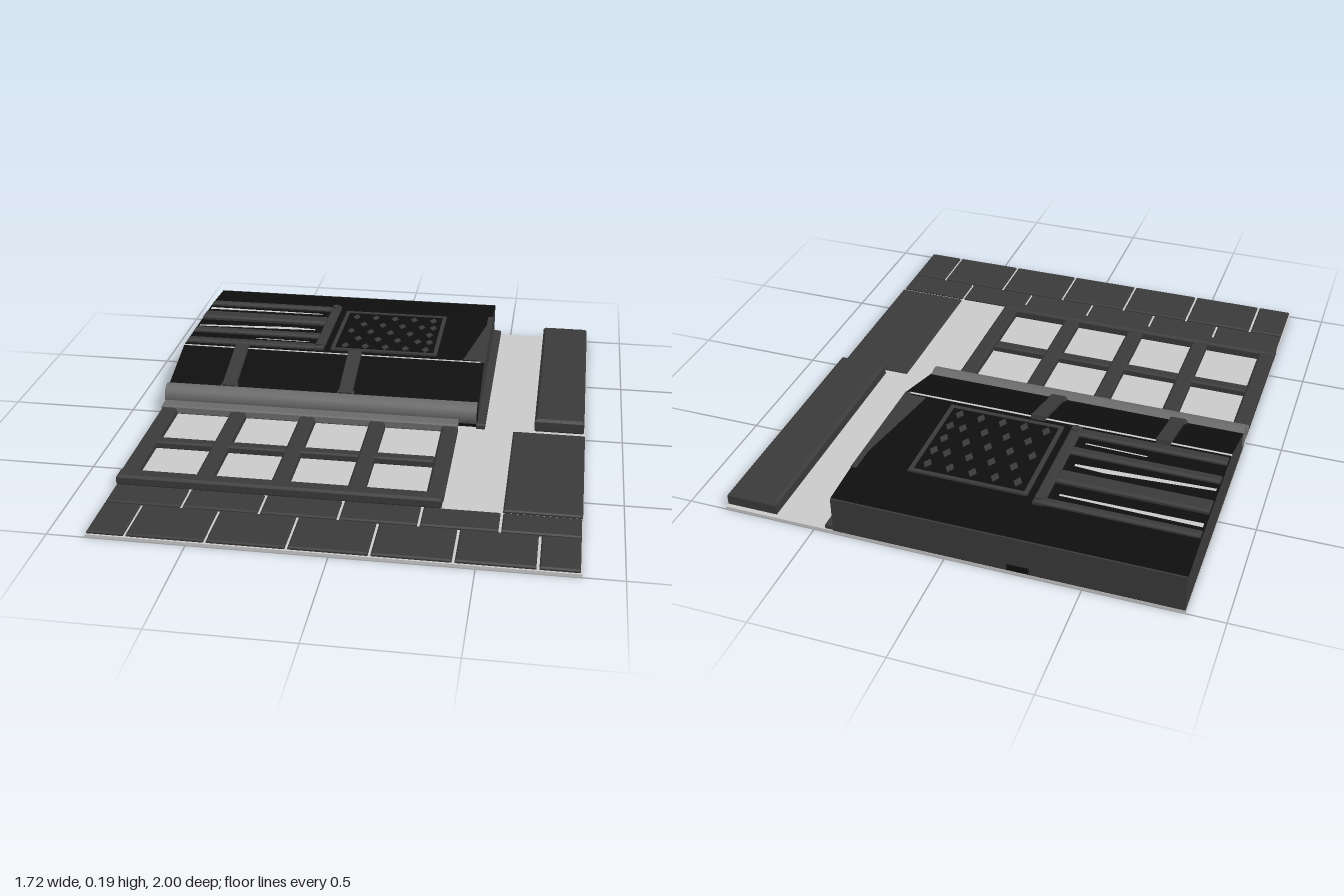
import * as THREE from 'three';

const mat = (name, color) => Object.assign(new THREE.MeshStandardMaterial({ color }), { name });

export function createModel() {
  const model = new THREE.Group();
  const stone = mat('dark grey', 0x3a3a3a);
  const black = mat('black', 0x0e0e0e);
  const light = mat('light grey', 0xc9c9c9);
  const steel = mat('mid grey', 0x6a6a6a);

  const add = (name, geo, material) => {
    const m = new THREE.Mesh(geo, material);
    m.name = name;
    model.add(m);
    return m;
  };
  // Plain box given by its extents
  const box = (name, x0, x1, y0, y1, z0, z1, material) =>
    add(name, new THREE.BoxGeometry(x1 - x0, y1 - y0, z1 - z0)
      .translate((x0 + x1) / 2, (y0 + y1) / 2, (z0 + z1) / 2), material);
  // Box with chamfered edges given by its extents
  const slab = (name, x0, x1, y0, y1, z0, z1, material = stone, b = 0.006) => {
    const w = (x1 - x0) / 2 - b, d = (z1 - z0) / 2 - b;
    const s = new THREE.Shape([[-w, -d], [w, -d], [w, d], [-w, d]].map(p => new THREE.Vector2(...p)));
    const g = new THREE.ExtrudeGeometry(s, {
      depth: y1 - y0 - 2 * b, bevelEnabled: true, bevelSize: b, bevelThickness: b, bevelSegments: 1,
    });
    g.rotateX(-Math.PI / 2).translate((x0 + x1) / 2, y0 + b, (z0 + z1) / 2);
    return add(name, g, material);
  };

  // Ground plate
  box('groundPlate', -0.86, 0.855, 0, 0.012, -1, 1, light);

  // Two staggered rows of paving
  const frontJoints = [-0.86, -0.718, -0.433, -0.147, 0.14, 0.425, 0.708, 0.855];
  const backJoints = [-0.86, -0.575, -0.29, -0.005, 0.282, 0.567, 0.855];
  const row = (joints, z0, z1) => {
    for (let i = 0; i + 1 < joints.length; i++)
      slab('pavingStone', joints[i] + 0.005, joints[i + 1] - 0.005, 0.01, 0.025, z0, z1, stone, 0.005);
  };
  row(frontJoints, 0.79, 0.995);
  row(backJoints, 0.655, 0.78);

  // Side paving and raised kerb
  slab('sidePaving', 0.57, 0.853, 0.01, 0.025, 0.01, 0.64, stone, 0.005);
  slab('raisedKerb', 0.652, 0.848, 0.01, 0.067, -0.99, -0.02, stone, 0.01);

  // Window-like lattice in front
  slab('latticeFrontBar', -0.86, 0.35, 0.01, 0.053, 0.585, 0.645, stone, 0.009);
  slab('latticeBackBar', -0.86, 0.35, 0.02, 0.056, -0.01, 0.052, steel);
  slab('latticeMiddleBar', -0.82, 0.288, 0.01, 0.042, 0.295, 0.34, stone);
  for (const x of [-0.827, -0.54, -0.255, 0.03, 0.32])
    slab('latticeUpright', x - 0.032, x + 0.032, 0.01, 0.048, 0.03, 0.6, stone, 0.008);

  // Roof block: profile in z and y, swept along x, with dark grey ends
  const profile = [[-0.03, 0.01], [-0.03, 0.085], [-0.08, 0.1], [-0.312, 0.168],
    [-0.82, 0.168], [-0.992, 0.157], [-0.992, 0.01]].map(p => new THREE.Vector2(...p));
  const roof = new THREE.ExtrudeGeometry(new THREE.Shape(profile), { depth: 1.284, bevelEnabled: false });
  roof.rotateY(-Math.PI / 2).translate(0.425, 0, 0);
  add('roofBlock', roof, [stone, black]);
  box('backWall', -0.859, 0.425, 0.01, 0.156, -0.999, -0.991, stone);
  box('backVent', -0.31, -0.23, 0.015, 0.04, -1, -0.998, black);

  // Rim along the foot of the side wall
  slab('sideRim', 0.42, 0.456, 0.01, 0.035, -0.998, -0.01, stone, 0.005);

  // Rounded eave beam
  const eave = new THREE.CylinderGeometry(0.044, 0.044, 1.28, 24).rotateZ(Math.PI / 2).translate(-0.22, 0.067, -0.044);
  add('eaveBeam', eave, steel);

  // Sloping ribs on the front of the roof
  for (const x of [-0.605, -0.12]) {
    const rib = add('roofRib', new THREE.BoxGeometry(0.056, 0.018, 0.27), stone);
    rib.position.set(x, 0.139, -0.2);
    rib.rotation.x = Math.atan2(0.068, 0.232);
    slab('ribFoot', x - 0.035, x + 0.035, 0.085, 0.112, -0.095, -0.07, stone);
  }

  // Narrow pale gap along the top of the slope
  box('ridgeGap', -0.86, 0.41, 0.166, 0.1695, -0.321, -0.312, light);

  // Louvre: frame, slats and pale gaps
  for (const [z, w, h, m] of [[-0.792, 0.034, 0.183, stone], [-0.642, 0.068, 0.186, stone],
    [-0.48, 0.04, 0.183, stone], [-0.365, 0.042, 0.183, stone]])
    slab('louvreSlat', -0.855, -0.295, 0.16, h, z - w / 2, z + w / 2, m, 0.008);
  slab('louvrePost', -0.3, -0.26, 0.16, 0.186, -0.815, -0.34, stone);
  for (const z of [-0.79, -0.365])
    add('louvreBolt', new THREE.CylinderGeometry(0.016, 0.016, 0.01, 12).translate(-0.28, 0.188, z), stone);
  const gap = (pts, material, y) => {
    const s = new THREE.Shape(pts.map(([x, z]) => new THREE.Vector2(x, -z)));
    add('paleGap', new THREE.ShapeGeometry(s).rotateX(-Math.PI / 2).translate(0, y, 0), material);
  };
  gap([[-0.85, -0.728], [-0.335, -0.732], [-0.335, -0.742], [-0.85, -0.75]], light, 0.17);
  gap([[-0.85, -0.528], [-0.335, -0.55], [-0.335, -0.562], [-0.45, -0.57], [-0.85, -0.542]], light, 0.17);
  gap([[-0.57, -0.422], [-0.335, -0.417], [-0.335, -0.424], [-0.57, -0.429]], light, 0.17);

  // Grille: border strips and staggered diamonds
  const [gx0, gx1, gz0, gz1, t] = [-0.23, 0.222, -0.78, -0.35, 0.016];
  box('grilleBorder', gx0, gx1, 0.16, 0.176, gz0, gz0 + t, stone);
  box('grilleBorder', gx0, gx1, 0.16, 0.176, gz1 - t, gz1, stone);
  box('grilleBorder', gx0, gx0 + t, 0.16, 0.176, gz0 + t, gz1 - t, stone);
  box('grilleBorder', gx1 - t, gx1, 0.16, 0.176, gz0 + t, gz1 - t, stone);
  box('grillePanel', gx0 + t, gx1 - t, 0.16, 0.173, gz0 + t, gz1 - t, black);
  for (let r = 0; r < 5; r++) {
    for (let c = 0; c < 5; c++) {
      const x = -0.175 + c * 0.086 + (r % 2) * 0.043 - (r % 2 && c === 4 ? 0.035 : 0);
      const d = new THREE.CylinderGeometry(1, 1, 1, 4).scale(0.016, 0.004, 0.027);
      add('grilleDiamond', d.translate(x, 0.174, -0.72 + r * 0.08), stone);
    }
  }

  // Worn edge at the right end of the roof
  box('roofEdgeStrip', 0.405, 0.427, 0.15, 0.1695, -0.82, -0.315, stone);
  const worn = new THREE.Shape([[0.405, 0.72], [0.335, 0.33], [0.405, 0.33]].map(p => new THREE.Vector2(...p)).reverse());
  add('wornEdge', new THREE.ShapeGeometry(worn).rotateX(-Math.PI / 2).translate(0, 0.1695, 0), stone);

  return model;
}
